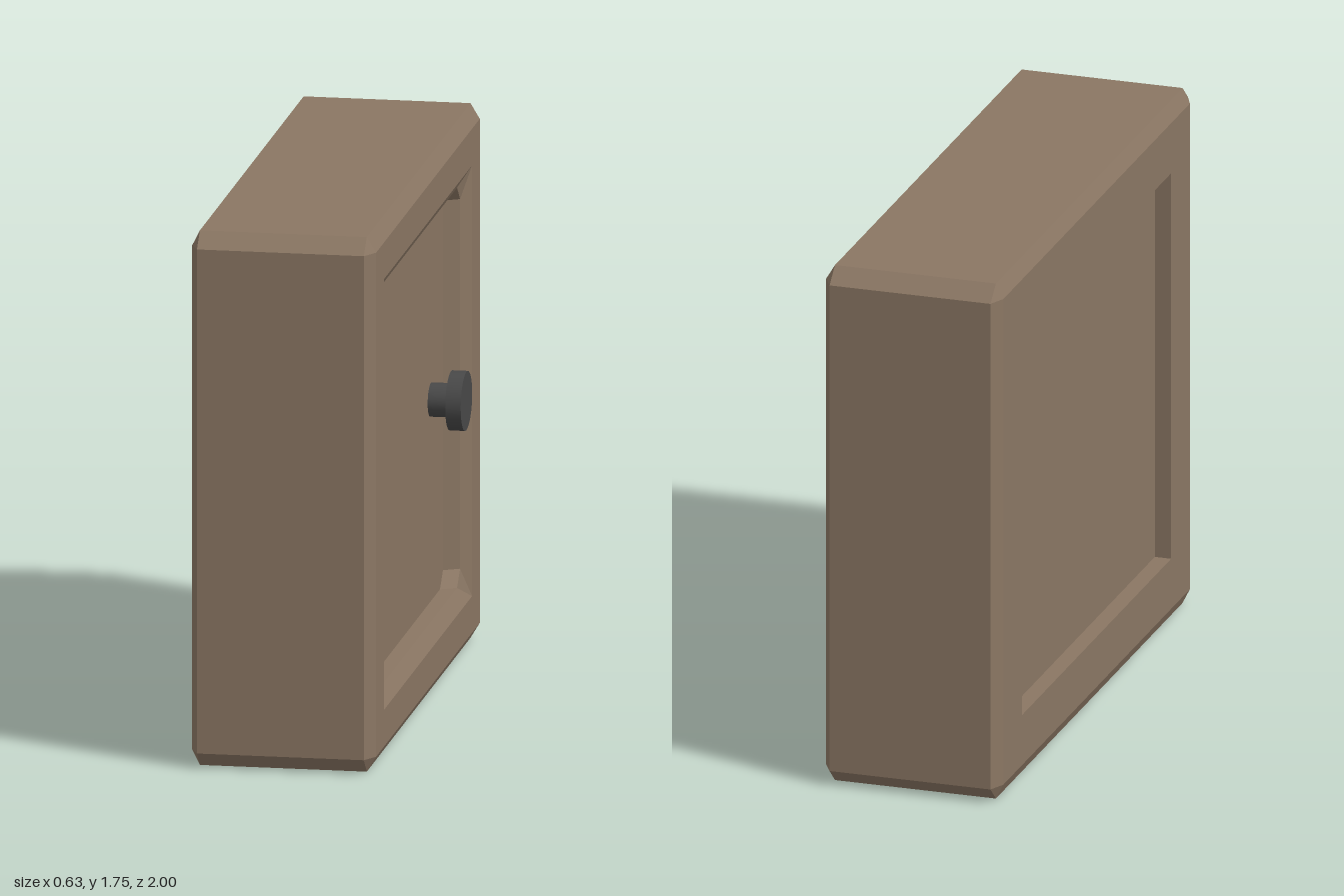
import * as THREE from 'three';

const MID_Y = 0.875;

// Eight-point ring in the plane at x: a rectangle whose corners may be cut.
function ring({ x, hz, hy, cutZ = 0, cutY = 0, backZ = -hz }) {
  const points = [];
  [[1, 1], [-1, 1], [-1, -1], [1, -1]].forEach(([sz, sy], i) => {
    const z = sz > 0 ? hz : backZ;
    const side = [x, MID_Y + sy * (hy - cutY), z];
    const flat = [x, MID_Y + sy * hy, z - sz * cutZ];
    points.push(...(i % 2 === 0 ? [side, flat] : [flat, side]));
  });
  return points;
}

// Joins rings along x and closes both ends.
function loft(rings) {
  const positions = [];
  const tri = (a, b, c) => {
    const [A, B, C] = [a, b, c].map((p) => new THREE.Vector3(...p));
    const area = B.sub(A).cross(C.sub(A)).length();
    if (area > 1e-8) positions.push(...a, ...b, ...c);
  };
  const last = rings.length - 1;
  const first = [rings[0][0][0], MID_Y, 0];
  const end = [rings[last][0][0], MID_Y, 0];
  for (let j = 0; j < 8; j++) {
    const k = (j + 1) % 8;
    tri(first, rings[0][j], rings[0][k]);
    for (let i = 0; i < last; i++) {
      tri(rings[i][j], rings[i + 1][j], rings[i + 1][k]);
      tri(rings[i][j], rings[i + 1][k], rings[i][k]);
    }
    tri(end, rings[last][k], rings[last][j]);
  }
  const geometry = new THREE.BufferGeometry();
  geometry.setAttribute('position', new THREE.Float32BufferAttribute(positions, 3));
  geometry.computeVertexNormals();
  return geometry;
}

export function createModel() {
  const model = new THREE.Group();
  model.name = 'recessedPanelDoor';

  const brown = new THREE.MeshStandardMaterial({ color: 0x8a7663 });
  brown.name = 'brown';
  const darkGrey = new THREE.MeshStandardMaterial({ color: 0x484848 });
  darkGrey.name = 'darkGrey';

  // Chamfered slab with a recessed panel on each broad side
  const cut = { cutZ: 0.055, cutY: 0.05 };
  const slab = new THREE.Mesh(loft([
    { x: -0.26, hz: 0.755, hy: 0.655 },
    { x: -0.315, hz: 0.755, hy: 0.655 },
    { x: -0.315, hz: 0.945, hy: 0.825 },
    { x: -0.29, hz: 1, hy: 0.875, ...cut },
    { x: 0.25, hz: 1, hy: 0.875, ...cut },
    { x: 0.28, hz: 0.945, hy: 0.825 },
    { x: 0.28, hz: 0.805, hy: 0.705 },
    { x: 0.25, hz: 0.755, hy: 0.655, ...cut },
    { x: 0.2, hz: 0.755, hy: 0.655, backZ: -0.725, ...cut },
  ].map(ring)), brown);
  slab.name = 'panelledSlab';
  model.add(slab);

  // Knob: slightly oval stem and head pointing along +x
  const knob = new THREE.Group();
  knob.name = 'knob';
  const addDisc = (name, radius, x0, x1) => {
    const geometry = new THREE.CylinderGeometry(radius, radius, x1 - x0, 32);
    geometry.rotateZ(-Math.PI / 2).scale(1, 0.91, 1);
    const disc = new THREE.Mesh(geometry, darkGrey);
    disc.name = name;
    disc.position.x = (x0 + x1) / 2;
    knob.add(disc);
  };
  addDisc('knobStem', 0.06, 0.19, 0.27);
  addDisc('knobHead', 0.105, 0.265, 0.315);
  knob.position.set(0, 0.88, -0.505);
  model.add(knob);

  return model;
}
